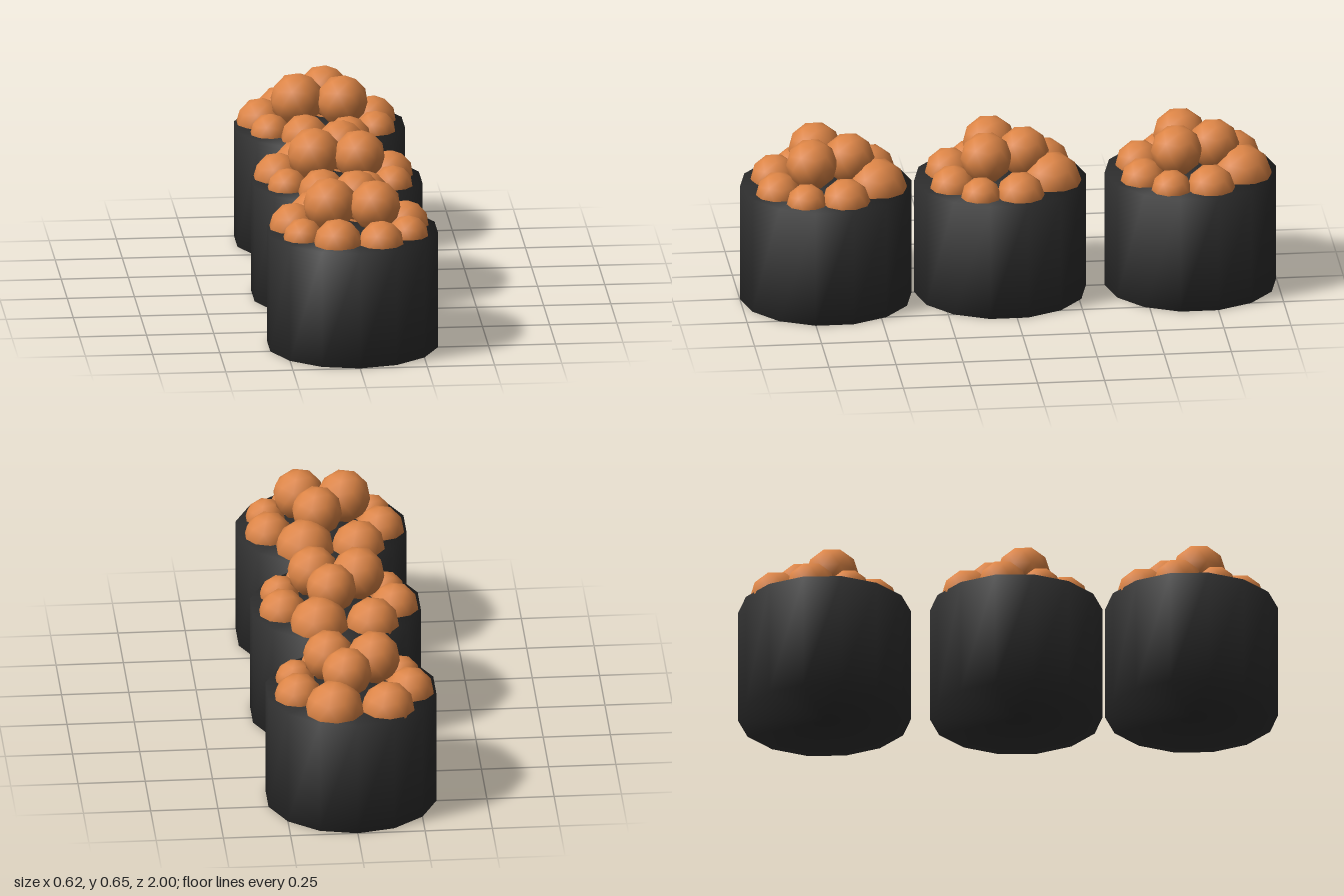
import * as THREE from 'three';
import { mergeVertices } from 'three/addons/utils/BufferGeometryUtils.js';

const RADIUS = 0.32, HEIGHT = 0.443;

// Roe balls on one roll: x, y, z, radius
const BALLS = [
  // lower ring, half sunk into the wrap
  [-0.125, 0.443, -0.175, 0.1],
  [0.075, 0.45, -0.185, 0.11],
  [-0.215, 0.445, -0.045, 0.092],
  [0.2, 0.443, -0.055, 0.09],
  [-0.192, 0.443, 0.095, 0.075],
  [-0.071, 0.448, 0.182, 0.09],
  [0.09, 0.443, 0.185, 0.085],
  [0.2, 0.443, 0.092, 0.075],
  // upper pile
  [0.022, 0.55, -0.085, 0.095],
  [-0.087, 0.552, 0.03, 0.1],
  [0.079, 0.552, 0.06, 0.096],
];

// 14-sided cylinder with normals smoothed over the rims
function wrapGeometry() {
  const geo = new THREE.CylinderGeometry(RADIUS, RADIUS, HEIGHT, 14);
  geo.deleteAttribute('uv');
  geo.deleteAttribute('normal');
  const merged = mergeVertices(geo, 1e-4);
  merged.computeVertexNormals();
  return merged.translate(0, HEIGHT / 2, 0);
}

export function createModel() {
  const model = new THREE.Group();
  model.name = 'roeRolls';

  const seaweed = new THREE.MeshStandardMaterial({ color: 0x2e2e2e });
  seaweed.name = 'seaweed black';
  const orange = new THREE.MeshStandardMaterial({ color: 0xdd8546 });
  orange.name = 'roe orange';

  const wrapGeo = wrapGeometry();
  // low-poly smooth ball with one vertex pointing up
  const ballGeo = new THREE.IcosahedronGeometry(1, 1)
    .rotateZ(-Math.atan(2 / (1 + Math.sqrt(5))));

  [0.68, 0.03, -0.68].forEach((z, i) => {
    const roll = new THREE.Group();
    roll.name = `roll${i + 1}`;
    roll.position.z = z;

    const wrap = new THREE.Mesh(wrapGeo, seaweed);
    wrap.name = 'seaweedWrap';
    roll.add(wrap);

    BALLS.forEach(([x, y, bz, r], j) => {
      const ball = new THREE.Mesh(ballGeo, orange);
      ball.name = `roeBall${j + 1}`;
      ball.position.set(x, y, bz);
      ball.scale.setScalar(r);
      roll.add(ball);
    });
    model.add(roll);
  });

  return model;
}
